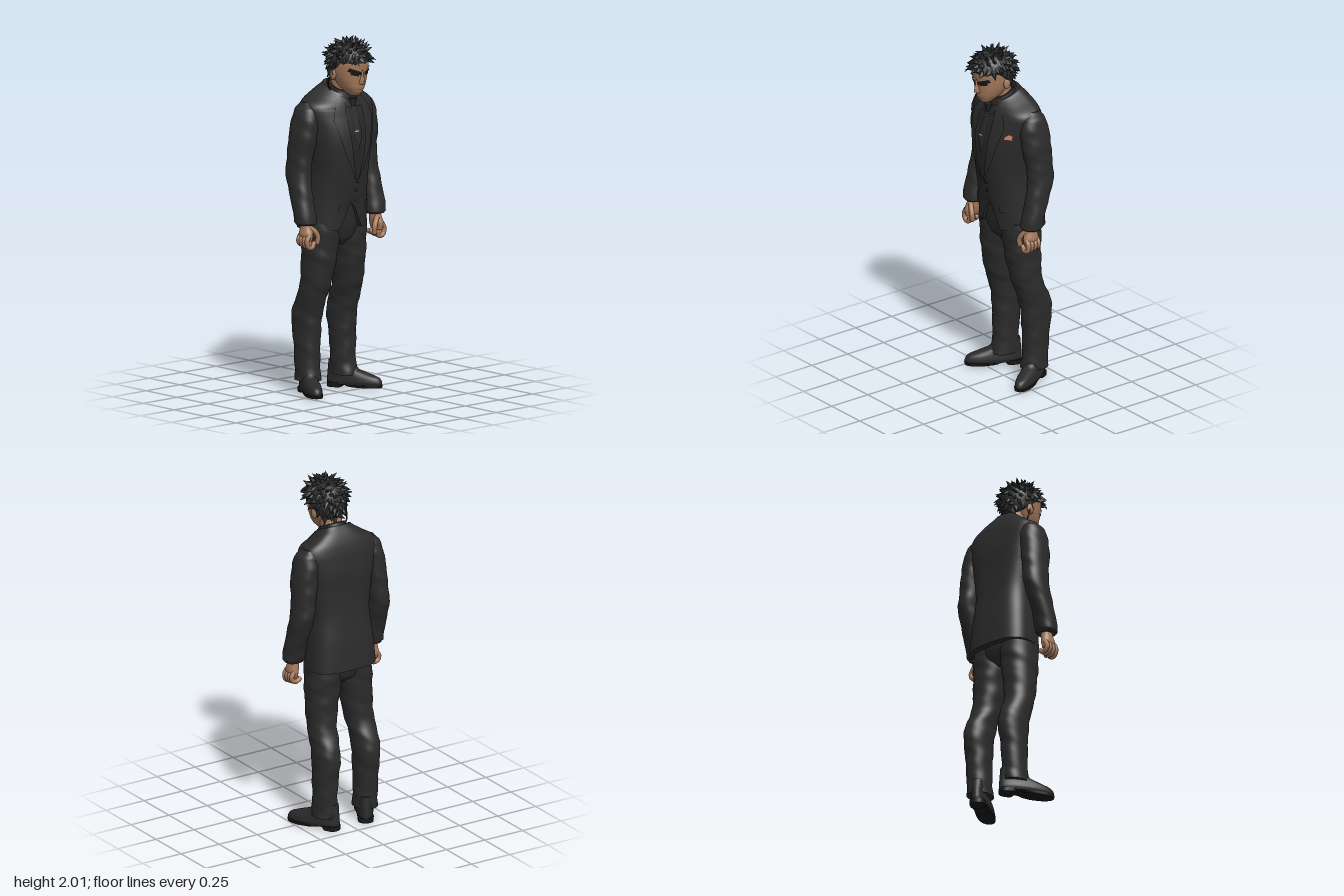
import * as THREE from 'three';
import { mergeGeometries } from 'three/addons/utils/BufferGeometryUtils.js';

const mat = (name, color) => Object.assign(new THREE.MeshStandardMaterial({ color, side: THREE.DoubleSide }), { name });
const lerp = THREE.MathUtils.lerp, clamp = THREE.MathUtils.clamp;

// Smoothly resample cross-sections [y, cx, halfWidth, zFront, zBack], listed upwards
function dense(rows, per = 5) {
  const out = [], n = rows.length, c = (i) => rows[clamp(i, 0, n - 1)];
  for (let i = 0; i < (n - 1) * per + 1; i++) {
    const k = Math.min(Math.floor(i / per), n - 2), t = i / per - k;
    out.push(rows[0].map((_, q) => {
      const a = c(k - 1)[q], b = c(k)[q], d = c(k + 1)[q], e = c(k + 2)[q];
      const v = b + 0.5 * t * (d - a + t * (2 * a - 5 * b + 4 * d - e + t * (3 * (b - d) + e - a)));
      return q === 0 ? lerp(b, d, t) : v;
    }));
  }
  return out;
}

// Capped skin through the rings; nf and nb square off the front and back halves
function loft(rings, { nf = 2.2, nb = 2.2, k = 0.5, segs = 40, fold = 0, warp = null } = {}) {
  const pos = [], idx = [], R = rings.length;
  const ring = ([y, cx, w, zf, zb]) => {
    const zc = lerp(zb, zf, k);
    for (let j = 0; j < segs; j++) {
      const a = (j / segs) * Math.PI * 2, c = Math.cos(a), s = Math.sin(a), e = 2 / (s > 0 ? nf : nb);
      const f = 1 + fold * (Math.sin(y * 48 + 2 * a * Math.sign(cx || 1)) + 0.6 * Math.sin(y * 83 - 3 * a));
      const p = new THREE.Vector3(cx + f * w * Math.sign(c) * Math.abs(c) ** e, y,
        zc + f * (s > 0 ? zf - zc : zc - zb) * Math.sign(s) * Math.abs(s) ** e);
      if (warp) warp(p);
      pos.push(p.x, p.y, p.z);
    }
  };
  rings.forEach(ring);
  for (let i = 0; i < R - 1; i++) for (let j = 0; j < segs; j++) {
    const a = i * segs + j, b = i * segs + (j + 1) % segs;
    idx.push(a, a + segs, b, b, a + segs, b + segs);
  }
  for (const [r, top] of [[rings[0], false], [rings[R - 1], true]]) {
    const base = pos.length / 3;
    ring(r);
    pos.push(r[1], r[0], (r[3] + r[4]) / 2);
    for (let j = 0; j < segs; j++) {
      const a = base + j, b = base + (j + 1) % segs;
      idx.push(base + segs, top ? b : a, top ? a : b);
    }
  }
  return geo(pos, idx);
}

function geo(pos, idx) {
  const g = new THREE.BufferGeometry();
  g.setAttribute('position', new THREE.Float32BufferAttribute(pos, 3));
  g.setIndex(idx);
  g.computeVertexNormals();
  return g;
}

function frontZ(rings, x, y, n, k) {
  let i = rings.findIndex((r) => r[0] >= y);
  i = clamp(i < 0 ? rings.length - 1 : i, 1, rings.length - 1);
  const A = rings[i - 1], B = rings[i], t = clamp((y - A[0]) / (B[0] - A[0]), 0, 1);
  const [, cx, w, zf, zb] = A.map((v, q) => lerp(v, B[q], t));
  const zc = lerp(zb, zf, k), u = Math.min(1, Math.abs(x - cx) / w);
  return zc + (zf - zc) * (1 - u ** n) ** (1 / n);
}

// Thin sheet lying on the front of a loft, between two polylines of [x, y]
function patch(rings, { nf, k = 0.5, warp = null }, left, right, off, side = 1) {
  const pos = [], idx = [], sub = 4, cols = 8, rows = (left.length - 1) * sub;
  const at = (line, u) => {
    const i = Math.min(Math.floor(u), line.length - 2);
    return [lerp(line[i][0], line[i + 1][0], u - i), lerp(line[i][1], line[i + 1][1], u - i)];
  };
  for (let i = 0; i <= rows; i++) for (let j = 0; j <= cols; j++) {
    const l = at(left, i / sub), r = at(right, i / sub);
    const x = lerp(l[0], r[0], j / cols) * side, y = lerp(l[1], r[1], j / cols);
    const p = new THREE.Vector3(x, y, frontZ(rings, x, y, nf, k) + off);
    if (warp) warp(p);
    pos.push(p.x, p.y, p.z);
    if (i < rows && j < cols) {
      const a = i * (cols + 1) + j, b = a + cols + 1;
      const q = [a, b, a + 1, a + 1, b, b + 1];
      idx.push(...(side > 0 ? q : q.reverse()));
    }
  }
  return geo(pos, idx);
}

const limb = (rows, s) => dense(rows.map(([y, cx, cz, rx, rz]) => [y, cx * s, rx, cz + rz, cz - rz]), 8);

function tube(points, r) {
  const pts = points.map((p) => new THREE.Vector3(...p));
  const end = new THREE.SphereGeometry(r, 10, 8).translate(...points[points.length - 1]);
  return mergeGeometries([new THREE.TubeGeometry(new THREE.CatmullRomCurve3(pts), 12, r, 10), end]);
}

export function createModel() {
  const model = new THREE.Group();
  const suit = mat('suit cloth', 0x2b2b2b), shirt = mat('shirt and vest cloth', 0x262626);
  const hair = mat('hair', 0x292a2b), shoe = mat('shoe leather', 0x2a2a2a), sole = mat('sole rubber', 0x181818);
  const skin = mat('skin', 0xa67a5c), lip = mat('lip', 0x7d5644), dark = mat('brow', 0x161616);
  const silk = mat('pocket silk', 0xc98468), silver = mat('silver', 0xc4c4c4);
  const add = (name, g, m, parent = model) => {
    const mesh = new THREE.Mesh(g, m);
    mesh.name = name;
    parent.add(mesh);
    return mesh;
  };

  // Jacket: neckline slopes forward, front hem is cut away in the middle
  const warp = (p) => {
    p.y -= p.z * 0.42 * clamp((p.y - 1.6) / 0.12, 0, 1);
    if (p.z > 0) p.y += 0.15 * clamp((1.1 - p.y) / 0.17, 0, 1) * clamp(1.1 - Math.abs(p.x) / 0.075, 0, 1);
  };
  const cut = { nf: 2.3, nb: 2.8, k: 0.42, warp };
  const body = dense([[0.93, 0, 0.2, 0.1, -0.195], [1.1, 0, 0.188, 0.115, -0.183], [1.25, 0, 0.176, 0.14, -0.166],
    [1.4, 0, 0.196, 0.15, -0.16], [1.5, 0, 0.212, 0.14, -0.16], [1.6, 0, 0.232, 0.11, -0.146],
    [1.64, 0, 0.215, 0.1, -0.13], [1.68, 0, 0.145, 0.09, -0.105], [1.72, 0, 0.088, 0.083, -0.075]]);
  add('jacket', loft(body, { ...cut, segs: 72 }), suit);
  add('vest', patch(body, cut, [[-0.055, 1.69], [-0.06, 1.55], [-0.035, 1.35], [-0.008, 1.22]],
    [[0.055, 1.69], [0.06, 1.55], [0.035, 1.35], [0.008, 1.22]], 0.003), shirt);
  add('tie', patch(body, cut, [[-0.016, 1.655], [-0.012, 1.62], [-0.028, 1.46], [0, 1.38]],
    [[0.016, 1.655], [0.012, 1.62], [0.028, 1.46], [0, 1.38]], 0.009), suit);
  add('tieKnot', new THREE.CylinderGeometry(0.026, 0.014, 0.045, 8).scale(1, 1, 0.6).translate(0, 1.64, 0.108), shirt);
  add('tieClip', patch(body, cut, [[-0.024, 1.482], [-0.024, 1.488]], [[0.004, 1.482], [0.004, 1.488]], 0.012), silver);
  add('pocketSquare', patch(body, cut, [[0.145, 1.495], [0.15, 1.515], [0.168, 1.53]],
    [[0.182, 1.495], [0.184, 1.52], [0.174, 1.53]], 0.012), silk);
  add('collar', loft(dense([[1.66, 0, 0.1, 0.095, -0.095], [1.7, 0, 0.084, 0.092, -0.075], [1.735, 0, 0.07, 0.088, -0.06]]),
    { warp: (p) => { p.y -= p.z * 0.45; } }), shirt);
  for (const [i, y] of [1.2, 1.15].entries())
    add('button' + i, new THREE.SphereGeometry(0.009, 10, 8).scale(1, 1, 0.5).translate(0.012, y, frontZ(body, 0.012, y, 2.3, 0.42) + 0.002), dark);

  // Hips of the trousers
  add('trouserHips', loft(dense([[0.83, 0, 0.03, 0.02, -0.1], [0.87, 0, 0.13, 0.055, -0.145], [0.95, 0, 0.18, 0.08, -0.16],
    [1.14, 0, 0.16, 0.1, -0.14]])), suit);

  for (const s of [1, -1]) {
    const side = s > 0 ? 'left' : 'right';
    add(side + 'Lapel', patch(body, cut, [[0.05, 1.7], [0.06, 1.6], [0.058, 1.5], [0.035, 1.34], [0.006, 1.21]],
      [[0.085, 1.71], [0.125, 1.61], [0.142, 1.55], [0.085, 1.36], [0.012, 1.21]], 0.01, s), suit);
    add(side + 'CollarWing', patch(body, cut, [[0.004, 1.675], [0.018, 1.62]], [[0.06, 1.71], [0.055, 1.635]], 0.014, s), shirt);
    add(side + 'PocketFlap', patch(body, cut, [[0.095, 1.04], [0.095, 1.075]], [[0.165, 1.04], [0.165, 1.08]], 0.008, s), suit);

    // Sleeve
    add(side + 'Sleeve', loft(limb([[0.975, 0.256, 0.008, 0.052, 0.05], [0.99, 0.257, 0.007, 0.062, 0.058],
      [1.12, 0.257, -0.026, 0.058, 0.065], [1.25, 0.248, -0.062, 0.06, 0.077], [1.35, 0.236, -0.06, 0.061, 0.08],
      [1.45, 0.226, -0.05, 0.065, 0.088], [1.55, 0.212, -0.045, 0.064, 0.085], [1.61, 0.2, -0.045, 0.057, 0.07],
      [1.645, 0.19, -0.05, 0.035, 0.04]], s), { fold: 0.018 }), suit);

    // Hand with curled fingers
    const hand = new THREE.Group();
    hand.name = side + 'Hand';
    model.add(hand);
    add('palm', loft(limb([[0.885, 0.262, 0.015, 0.02, 0.042], [0.92, 0.262, 0.015, 0.03, 0.046], [0.96, 0.257, 0.01, 0.03, 0.036],
      [1, 0.256, 0.006, 0.028, 0.03]], s)), skin, hand);
    [0.05, 0.027, 0.003, -0.019].forEach((z, i) => add('finger' + i, tube([[0.27, 0.92, z], [0.287, 0.89, z],
      [0.278, 0.856 + 0.004 * i, z], [0.25, 0.85 + 0.004 * i, z], [0.236, 0.872, z]].map(([x, y, q]) => [x * s, y, q]), 0.0135), skin, hand));
    add('thumb', tube([[0.25, 0.96, 0.035], [0.225, 0.935, 0.05], [0.211, 0.905, 0.056], [0.213, 0.875, 0.052]]
      .map(([x, y, z]) => [x * s, y, z]), 0.0145), skin, hand);

    // Trouser leg
    add(side + 'TrouserLeg', loft(limb([[0.075, 0.134, -0.108, 0.066, 0.078], [0.15, 0.133, -0.115, 0.063, 0.074],
      [0.3, 0.132, -0.12, 0.067, 0.08], [0.42, 0.13, -0.124, 0.07, 0.094], [0.5, 0.128, -0.104, 0.073, 0.092],
      [0.6, 0.121, -0.066, 0.079, 0.087], [0.75, 0.109, -0.05, 0.089, 0.1], [0.85, 0.101, -0.046, 0.097, 0.108],
      [0.97, 0.098, -0.043, 0.094, 0.115]], s), { fold: 0.02 }), suit);

    // Shoe, toe turned out
    const foot = new THREE.Group();
    foot.name = side + 'Shoe';
    foot.position.set(0.11 * s, 0, -0.155);
    foot.rotation.y = 0.49 * s;
    model.add(foot);
    add('upper', loft(dense([[0.018, 0, 0.046, 0.27, -0.042], [0.035, 0, 0.05, 0.272, -0.045], [0.06, 0, 0.047, 0.255, -0.044],
      [0.08, 0, 0.044, 0.2, -0.042], [0.1, 0, 0.043, 0.14, -0.04], [0.15, 0, 0.042, 0.1, -0.036]])), shoe, foot);
    add('sole', loft([[0.006, 0, 0.048, 0.272, 0.07], [0.02, 0, 0.05, 0.275, 0.03]]), sole, foot);
    add('heel', loft([[0, 0, 0.043, 0.042, -0.044], [0.026, 0, 0.045, 0.055, -0.045]], { nf: 4 }), sole, foot);
  }

  // Neck, head, nose
  const face = { nf: 2.3, k: 0.45 };
  const head = dense([[1.682, 0, 0.022, 0.148, 0.09], [1.7, 0, 0.042, 0.163, 0.07], [1.73, 0, 0.064, 0.175, 0.03],
    [1.77, 0, 0.082, 0.18, 0], [1.82, 0, 0.094, 0.186, -0.03], [1.88, 0, 0.096, 0.19, -0.035], [1.93, 0, 0.07, 0.15, -0.01],
    [1.955, 0, 0.03, 0.1, 0.04]]);
  add('neck', loft(dense([[1.64, 0, 0.06, 0.06, -0.06], [1.8, 0, 0.06, 0.1, -0.025]])), skin);
  add('head', loft(head, { ...face, segs: 48 }), skin);
  add('nose', loft([[1.748, 0, 0.014, 0.188, 0.15], [1.757, 0, 0.019, 0.206, 0.15], [1.78, 0, 0.012, 0.203, 0.15],
    [1.83, 0, 0.009, 0.192, 0.15]], { nf: 1.4, segs: 16 }), skin);
  add('mouth', patch(head, face, [[-0.027, 1.719], [-0.027, 1.722]], [[0.027, 1.719], [0.027, 1.722]], 0.003), lip);
  for (const s of [1, -1]) {
    add('eyebrow', patch(head, face, [[0.012, 1.802], [0.012, 1.82]], [[0.079, 1.825], [0.074, 1.845]], 0.007, s), dark);
    add('eye', patch(head, face, [[0.024, 1.796], [0.022, 1.806]], [[0.064, 1.806], [0.066, 1.822]], 0.003, s), dark);
    add('ear', new THREE.SphereGeometry(0.03, 14, 10).scale(0.42, 1.1, 0.75).translate(0.094 * s, 1.8, 0.05), skin);
  }
  add('earpieceWire', tube([[-0.098, 1.8, 0.045], [-0.106, 1.77, 0.03], [-0.1, 1.73, 0.02], [-0.078, 1.695, 0.02]], 0.004), dark);

  // Hair: cap trimmed at the hairline, covered with curved tufts
  const hairline = (z) => lerp(1.755, 1.872, clamp((z + 0.03) / 0.14, 0, 1));
  const onHair = (n) => new THREE.Vector3(n.x * 0.109, 1.87 + n.y * (n.y > 0 ? 0.106 : 0.165), 0.075 + n.z * 0.127);
  const cap = new THREE.SphereGeometry(1, 40, 30), cp = cap.attributes.position;
  for (let i = 0; i < cp.count; i++) {
    const p = onHair(new THREE.Vector3().fromBufferAttribute(cp, i));
    cp.setXYZ(i, p.x, Math.max(p.y, hairline(p.z)), p.z);
  }
  cap.computeVertexNormals();
  add('hairCap', cap, hair);
  let seed = 7;
  const rnd = () => (seed = (seed * 16807) % 2147483647) / 2147483647;
  const up = new THREE.Vector3(0, 1, 0), tufts = [];
  const tuft = (base, dir, len, r, bend) => {
    const g = new THREE.ConeGeometry(r, len, 6, 4).scale(1, 1, 0.7).translate(0, len / 2, 0), p = g.attributes.position;
    for (let i = 0; i < p.count; i++) p.setX(i, p.getX(i) + bend * (p.getY(i) / len) ** 2);
    g.computeVertexNormals();
    tufts.push(g.applyQuaternion(new THREE.Quaternion().setFromUnitVectors(up, dir.normalize())).translate(base.x, base.y, base.z));
  };
  for (let i = 0; i < 150; i++) {
    const y = 1 - (i / 150) * 1.65, r = Math.sqrt(1 - y * y), a = i * 2.39996;
    const n = new THREE.Vector3(r * Math.cos(a), y, r * Math.sin(a)), p = onHair(n);
    const dir = n.clone().multiplyScalar(0.6).add(new THREE.Vector3(n.x * y, -r, n.z * y).multiplyScalar(0.45));
    dir.add(new THREE.Vector3(rnd() - 0.5, rnd() - 0.4, rnd() - 0.5).multiplyScalar(0.6));
    if (p.y > hairline(p.z) + 0.004) tuft(p.addScaledVector(n, -0.012), dir, 0.038 + 0.018 * rnd(), 0.02, 0.02 * (rnd() - 0.5));
  }
  tuft(new THREE.Vector3(-0.045, 1.905, 0.185), new THREE.Vector3(-0.3, -0.7, 0.5), 0.06, 0.018, 0.012);
  tuft(new THREE.Vector3(0.05, 1.9, 0.175), new THREE.Vector3(0.6, -0.5, 0.3), 0.05, 0.018, -0.01);
  add('hairTufts', mergeGeometries(tufts), hair);
  return model;
}
